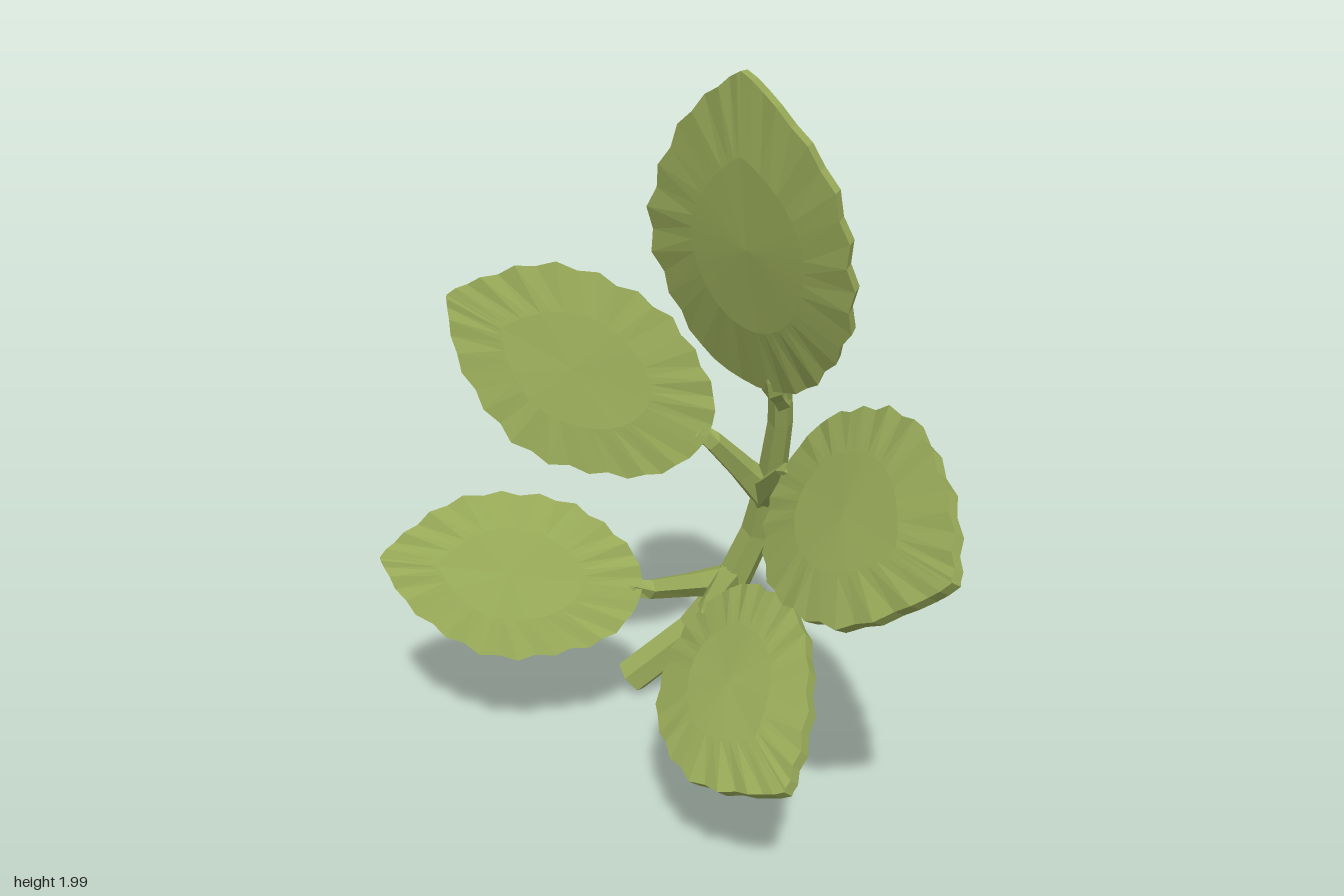
import * as THREE from 'three';

const V = (a) => new THREE.Vector3(...a);
const leafGreen = new THREE.MeshStandardMaterial({ color: 0x99ab59 });
leafGreen.name = 'leafGreen';

// Moves every vertex by a rule, then gives the mesh faceted normals
function facetedMesh(name, geometry, rule) {
  const pos = geometry.attributes.position;
  const v = new THREE.Vector3();
  for (let i = 0; i < pos.count; i++) {
    v.fromBufferAttribute(pos, i);
    rule(v);
    pos.setXYZ(i, v.x, v.y, v.z);
  }
  const flat = geometry.toNonIndexed();
  flat.computeVertexNormals();
  const mesh = new THREE.Mesh(flat, leafGreen);
  mesh.name = name;
  return mesh;
}

// Capped branch that follows points, with one radius per point
function branch(name, path, radii, sides) {
  const last = path.length - 1;
  const up = new THREE.Vector3(0, 1, 0);
  const turns = path.map((p, i) => {
    const tangent = path[Math.min(i + 1, last)].clone().sub(path[Math.max(i - 1, 0)]).normalize();
    return new THREE.Quaternion().setFromUnitVectors(up, tangent);
  });
  return facetedMesh(name, new THREE.CylinderGeometry(1, 1, 1, sides, last), (v) => {
    const k = Math.round((v.y + 0.5) * last);
    v.y = 0;
    v.multiplyScalar(radii[k]).applyQuaternion(turns[k]).add(path[k]);
  });
}

// Serrated leaf blade from base to tip; across sets the width direction
function blade(name, { base, tip, across, width }) {
  const a = V(base), b = V(tip);
  const along = b.clone().sub(a);
  const length = along.length();
  along.normalize();
  const side = V(across);
  side.addScaledVector(along, -side.dot(along)).normalize();
  const normal = along.clone().cross(side);
  const frame = new THREE.Matrix4().makeBasis(side, normal, along)
    .setPosition(a.add(b).multiplyScalar(0.5));
  const teeth = 44;
  const profile = [[0, -0.024], [0.55, -0.022], [0.98, -0.02], [1, 0.014], [0.55, 0.022], [0, 0.024]]
    .map((p) => new THREE.Vector2(...p));
  return facetedMesh(name, new THREE.LatheGeometry(profile, teeth), (v) => {
    const r = Math.hypot(v.x, v.z);
    const phi = Math.atan2(v.x, v.z);
    const c = Math.cos(phi), s = Math.sin(phi);
    const i = (Math.round(phi / (2 * Math.PI) * teeth) + teeth) % teeth;
    // Uneven teeth along the rim, fading out at the pointed tip
    const tooth = r < 0.9 ? 0 : (i % 2 ? -0.03 : 0.02) + 0.018 * Math.sin(i * 5.3);
    const taper = c > 0 ? Math.pow(Math.abs(s), 0.75) : 1;
    v.x = r * (1 + tooth) * s * taper * width / 2;
    v.z = r * (1 + tooth * s * s) * c * length / 2;
    // The blade arches forward between base and tip
    v.y += 0.04 * (1 - r * r * c * c) + (r > 0.9 ? 0.004 * Math.sin(i * 2.7) : 0);
    v.applyMatrix4(frame);
  });
}

export function createModel() {
  const sprig = new THREE.Group();
  sprig.name = 'leafSprig';

  // Main stem, arching back and then forward into the top leaf
  sprig.add(branch('stem', [
    [-0.375, 0.05, -0.32], [-0.2, 0.22, -0.41], [-0.09, 0.39, -0.45], [-0.01, 0.58, -0.457],
    [0.05, 0.78, -0.42], [0.1, 0.98, -0.36], [0.13, 1.2, -0.285],
  ].map(V), [0.058, 0.057, 0.055, 0.05, 0.043, 0.036, 0.031], 6));

  // Each leaf: blade placement, and where its stalk leaves the stem
  const lower = [-0.1, 0.4, -0.44], upper = [0.03, 0.72, -0.43];
  const leaves = [
    { name: 'top', base: [0.13, 1.12, -0.235], tip: [0.145, 2, 0], across: [-1, 0, -0.1], width: 0.59,
      from: [0.118, 1.05, -0.33], stalk: 0.03 },
    { name: 'upperLeft', base: [0.215, 0.92, -0.16], tip: [0.885, 1.0, 0.43], across: [0.16, 0.49, -0.28],
      width: 0.55, from: upper, stalk: 0.056 },
    { name: 'lowerLeft', base: [0.005, 0.485, -0.095], tip: [0.53, 0.39, 0.5], across: [0.31, 0.366, -0.21],
      width: 0.49, from: lower, stalk: 0.054 },
    { name: 'upperRight', base: [-0.065, 0.945, -0.235], tip: [-0.79, 1.31, -0.04],
      across: [-0.2, -0.5, 0.17], width: 0.545, from: upper, stalk: 0.056 },
    { name: 'lowerRight', base: [-0.21, 0.49, -0.105], tip: [-0.885, 0.58, 0.225],
      across: [0, -0.43, 0.24], width: 0.47, from: lower, stalk: 0.054 },
  ];
  for (const leaf of leaves) {
    const group = new THREE.Group();
    group.name = leaf.name + 'Leaf';
    group.add(blade(leaf.name + 'Blade', leaf));
    // Stalk that narrows, meets the blade and fades into the midrib behind it
    const base = V(leaf.base), from = V(leaf.from);
    const joint = base.clone().lerp(from, 0.08);
    const rib = base.clone().lerp(V(leaf.tip), 0.17);
    group.add(branch(leaf.name + 'Stalk',
      [from, from.clone().lerp(joint, 0.45), joint, base.clone().lerp(rib, 0.2), rib],
      [leaf.stalk, leaf.stalk * 0.72, 0.03, 0.026, 0.006], 5));
    sprig.add(group);
  }
  return sprig;
}
